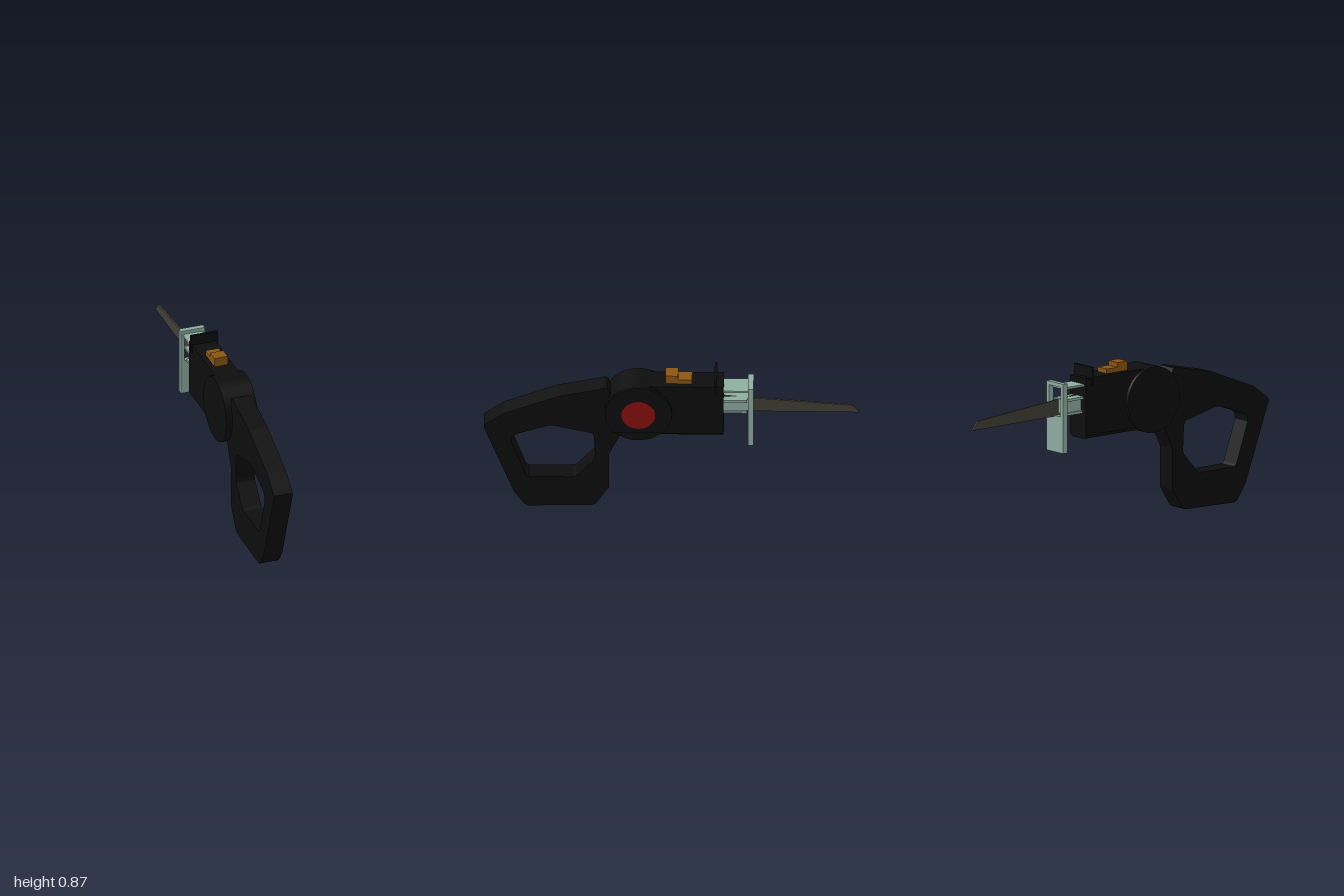
import * as THREE from 'three';

const mat = (name, color) => {
  const m = new THREE.MeshStandardMaterial({ color });
  m.name = name;
  return m;
};

export function createModel() {
  const black = mat('black housing', 0x0d0d0d);
  const red = mat('red badge', 0x870f0f);
  const orange = mat('amber switch', 0x8a5512);
  const mint = mat('pale green metal', 0x8fada2);
  const steel = mat('dark blade steel', 0x403e35);

  const model = new THREE.Group();
  model.name = 'reciprocatingSaw';

  const add = (name, geometry, material) => {
    const mesh = new THREE.Mesh(geometry, material);
    mesh.name = name;
    model.add(mesh);
    return mesh;
  };
  const path = (points) => points.map(([a, b]) => new THREE.Vector2(a, b));

  // Box given by its limits on each axis
  const box = (name, material, [x0, x1], [y0, y1], [z0, z1]) => {
    const mesh = add(name, new THREE.BoxGeometry(x1 - x0, y1 - y0, z1 - z0), material);
    mesh.position.set((x0 + x1) / 2, (y0 + y1) / 2, (z0 + z1) / 2);
    return mesh;
  };

  // Side profile of [z, y] points extruded across x
  const profile = (name, material, points, x0, x1, hole) => {
    const shape = new THREE.Shape(path(points));
    if (hole) shape.holes.push(new THREE.Path(path(hole)));
    const geo = new THREE.ExtrudeGeometry(shape, { depth: x1 - x0, bevelEnabled: false });
    geo.rotateY(-Math.PI / 2);
    geo.translate(x1, 0, 0);
    return add(name, geo, material);
  };

  // Disc lying across x, centred on the motor axis
  const axisY = 0.643, axisZ = 0.178;
  const disc = (name, material, radius, x0, x1) => {
    const geo = new THREE.CylinderGeometry(radius, radius, x1 - x0, 48);
    geo.rotateZ(Math.PI / 2);
    const mesh = add(name, geo, material);
    mesh.position.set((x0 + x1) / 2, axisY, axisZ);
    return mesh;
  };

  // Closed loop handle
  profile('handle', black, [
    [0.2, 0.74], [0.2, 0.5], [0.27, 0.49], [0.335, 0.355], [0.335, 0.13], [0.405, 0.02], [0.425, 0.01],
    [0.765, 0.003], [0.785, 0.015], [0.84, 0.095], [0.997, 0.515], [1.0, 0.535], [0.985, 0.55],
    [0.895, 0.617], [0.61, 0.733], [0.36, 0.79], [0.342, 0.788], [0.332, 0.765], [0.325, 0.72],
  ], -0.055, 0.051, [
    [0.855, 0.43], [0.85, 0.462], [0.835, 0.478], [0.655, 0.54], [0.62, 0.537], [0.43, 0.492],
    [0.415, 0.475], [0.408, 0.33], [0.415, 0.31], [0.51, 0.205], [0.525, 0.197], [0.76, 0.197], [0.777, 0.21],
  ]);

  // Front housing with chamfered lower edges
  const section = new THREE.Shape(path([
    [-0.052, 0.485], [0.046, 0.485], [0.064, 0.505], [0.064, 0.815], [-0.07, 0.815], [-0.07, 0.505],
  ]));
  const housing = new THREE.ExtrudeGeometry(section, { depth: 0.425, bevelEnabled: false });
  housing.translate(0, 0, -0.275);
  add('frontHousing', housing, black);

  // Round motor housing, stepped on the badge side
  disc('motorHousing', black, 0.179, -0.09, 0.074);
  disc('motorStep', black, 0.152, 0.07, 0.08);
  const cut = Math.asin((0.525 - axisY) / 0.178);
  const cap = [];
  for (let i = 0; i <= 36; i++) {
    const a = cut + (i / 36) * (Math.PI - 2 * cut);
    cap.push([axisZ + 0.178 * Math.cos(a), axisY + 0.178 * Math.sin(a)]);
  }
  profile('motorCover', black, cap, 0.07, 0.088);
  disc('badge', red, 0.09, 0.084, 0.0905);

  // Sight plate and stepped switch on top
  box('sightPlate', black, [-0.078, 0.074], [0.77, 0.872], [-0.24, -0.226]);
  box('switchBase', orange, [-0.04, 0.035], [0.81, 0.84], [-0.107, 0.035]);
  box('switchTop', orange, [-0.04, 0.035], [0.83, 0.865], [-0.033, 0.035]);

  // Shoe plate with a window for the blade
  const shoe = new THREE.Shape(path([[-0.07, 0.428], [0.066, 0.428], [0.066, 0.805], [-0.07, 0.805]]));
  shoe.holes.push(new THREE.Path(path([[-0.05, 0.625], [-0.05, 0.785], [0.046, 0.785], [0.046, 0.625]])));
  const shoeGeo = new THREE.ExtrudeGeometry(shoe, { depth: 0.03, bevelEnabled: false });
  shoeGeo.translate(0, 0, -0.434);
  add('shoePlate', shoeGeo, mint);

  // Shoe arm and blade clamp
  box('shoeArm', mint, [-0.058, 0.053], [0.77, 0.782], [-0.41, -0.27]);
  box('clampTop', mint, [-0.05, 0.046], [0.7, 0.714], [-0.4, -0.27]);
  box('clampBlock', mint, [-0.028, 0.03], [0.635, 0.71], [-0.405, -0.27]);
  box('clampRail', mint, [-0.04, 0.036], [0.622, 0.636], [-0.4, -0.27]);

  // Tapered blade
  profile('blade', steel, [
    [-0.27, 0.72], [-0.27, 0.62], [-1.0, 0.617], [-0.958, 0.664],
  ], 0.002, 0.012);

  return model;
}
